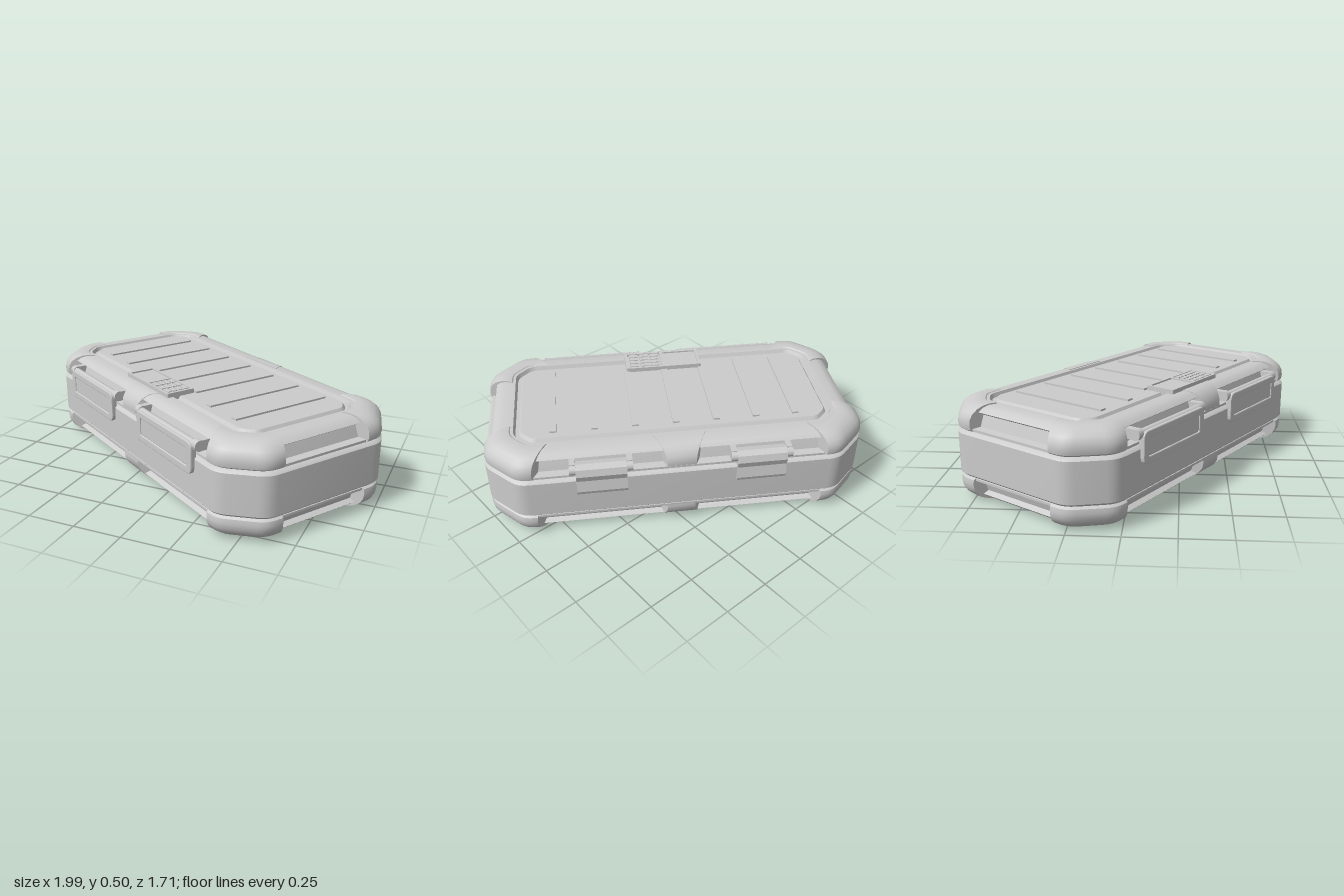
import * as THREE from 'three';
import { toCreasedNormals } from 'three/addons/utils/BufferGeometryUtils.js';

const L = 0.978, W = 0.505, C = 0.17, H = 0.485; // half length, half width, corner cut, height
const mat = new THREE.MeshStandardMaterial({ color: 0xcccccc });

function add(parent, name, geo, x = 0, y = 0, z = 0) {
  const m = new THREE.Mesh(geo, mat);
  m.name = name;
  m.position.set(x, y, z);
  parent.add(m);
  return m;
}
const box = (p, name, w, h, d, x, y, z) => add(p, name, new THREE.BoxGeometry(w, h, d), x, y, z);

// The two softened corner points of one quadrant, from the end (+x) round to the front (+z)
function corner(d, steps = 4) {
  const c = C - d * 0.586, l = L - d, w = W - d, r = Math.min(0.05, c * 0.4), k = r * Math.SQRT1_2;
  const soften = (a, b, e) => Array.from({ length: steps + 1 }, (_, i) => {
    const t = i / steps, s = 1 - t;
    return [0, 1].map(n => s * s * a[n] + 2 * s * t * b[n] + t * t * e[n]);
  });
  return [
    ...soften([l, w - c - r], [l, w - c], [l - k, w - c + k]),
    ...soften([l - c + k, w - k], [l - c, w], [l - c - r, w]),
  ];
}
// Mirrors a quadrant path, keeping its direction of travel
function mirror(path, sx, sz) {
  const p = path.map(([x, z]) => [x * sx, z * sz]);
  return sx * sz < 0 ? p.reverse() : p;
}
const octagon = d => [[1, 1], [-1, 1], [-1, -1], [1, -1]].flatMap(([sx, sz]) => mirror(corner(d), sx, sz));

// Sweeps a profile of [inset, height] along path(inset); closed loops get lids, open spans get end faces
function sweep(profile, path, closed) {
  const rings = profile.map(([d, y]) => path(d).map(([x, z]) => [x, y, z]));
  const n = rings[0].length, pos = [];
  const tri = (...pts) => pts.forEach(p => pos.push(...p));
  const mean = pts => [0, 1, 2].map(k => pts.reduce((s, p) => s + p[k], 0) / pts.length);
  for (let i = 0; i < rings.length - 1; i++) {
    for (let j = 0; j < (closed ? n : n - 1); j++) {
      const k = (j + 1) % n, a = rings[i], b = rings[i + 1];
      tri(a[j], b[j], a[k]);
      tri(a[k], b[j], b[k]);
    }
  }
  if (closed) {
    const lo = rings[0], hi = rings.at(-1), cl = mean(lo), ch = mean(hi);
    for (let j = 0; j < n; j++) {
      const k = (j + 1) % n;
      tri(cl, lo[j], lo[k]);
      tri(ch, hi[k], hi[j]);
    }
  } else {
    const s = rings.map(r => r[0]), e = rings.map(r => r[n - 1]), cs = mean(s), ce = mean(e);
    for (let i = 0; i < s.length - 1; i++) {
      tri(cs, s[i + 1], s[i]);
      tri(ce, e[i], e[i + 1]);
    }
  }
  const g = new THREE.BufferGeometry();
  g.setAttribute('position', new THREE.Float32BufferAttribute(pos, 3));
  return toCreasedNormals(g, 0.55);
}
const flip = profile => profile.map(([d, y]) => [d, H - y]).reverse();

function roundRect(w, h, r, P = THREE.Shape, cx = 0) {
  const s = new P(), a = cx - w / 2, b = cx + w / 2, t = h / 2;
  s.moveTo(a + r, -t).lineTo(b - r, -t).quadraticCurveTo(b, -t, b, -t + r);
  s.lineTo(b, t - r).quadraticCurveTo(b, t, b - r, t).lineTo(a + r, t);
  s.quadraticCurveTo(a, t, a, t - r).lineTo(a, -t + r).quadraticCurveTo(a, -t, a + r, -t);
  return s;
}
const extrude = (shape, depth, bevel = 0) => new THREE.ExtrudeGeometry(shape, {
  depth, bevelEnabled: bevel > 0, bevelSize: bevel, bevelThickness: bevel, bevelSegments: 2, curveSegments: 4,
});
const barrel = (r, len) => new THREE.CylinderGeometry(r, r, len, 14).rotateZ(Math.PI / 2);

const bodyProfile = [[0.03, 0.125], [0.012, 0.13], [0, 0.142], [0, 0.343], [0.012, 0.355], [0.03, 0.36]];
// Rim with a slot running round it, then the groove and the raised panel
const rimProfile = [[0.03, 0.355], [0.015, 0.362], [0.015, 0.374], [0.055, 0.378], [0.072, 0.435], [0.048, 0.45],
  [0.07, 0.468], [0.1, 0.478], [0.155, 0.478], [0.165, 0.458], [0.183, 0.458], [0.195, 0.476]];
const postProfile = [[0.1, 0.362], [0.018, 0.362], [0.014, 0.385], [0.02, 0.42], [0.046, 0.454],
  [0.075, 0.474], [0.11, 0.481], [0.14, 0.481], [0.14, 0.4], [0.1, 0.362]];
const bumperProfile = [[0.1, 0.358], [0.02, 0.358], [0.006, 0.368], [0.002, 0.39], [0.006, 0.42], [0.02, 0.446],
  [0.045, 0.467], [0.075, 0.48], [0.11, 0.485], [0.135, 0.483], [0.15, 0.47], [0.15, 0.4], [0.1, 0.358]];

// Rim, bumpers, posts and ribs, for the lid or turned over for the base
function half(name, turn) {
  const g = new THREE.Group();
  g.name = name;
  add(g, name + 'Rim', sweep(turn(rimProfile), octagon, true));
  for (const sx of [1, -1]) for (const sz of [1, -1]) {
    const path = d => mirror([[L - d, 0.25 - d * 0.35], ...corner(d), [0.74 - d * 0.6, W - d]], sx, sz);
    add(g, 'cornerBumper', sweep(turn(bumperProfile), path, false));
  }
  for (const s of [1, -1]) {
    const path = d => [1, -1].map(e => [s * e * (0.065 + d * 0.5), s * (W - d)]);
    add(g, 'sidePost', sweep(turn(postProfile), path, false));
  }
  const lid = name === 'lid';
  for (let i = -3; i <= 3; i++) {
    const end = lid && Math.abs(i) < 2 ? 0.22 : 0.275; // the middle ribs stop at the keypad
    const rib = new THREE.BoxGeometry(0.036, 0.012, end + 0.275);
    box(g, 'panelRib', 0.034, 0.012, end + 0.275, i * 0.208, lid ? 0.479 : H - 0.479, (end - 0.275) / 2);
    rib.dispose();
  }
  return g;
}

// Wide front latch: rounded frame, inset plate, pivot bar and lugs
function frontLatch() {
  const g = new THREE.Group();
  g.name = 'frontLatch';
  const frame = roundRect(0.5, 0.15, 0.03);
  frame.holes.push(roundRect(0.44, 0.098, 0.012, THREE.Path));
  add(g, 'latchFrame', extrude(frame, 0.022, 0.005), 0, 0.345, 0.498);
  add(g, 'latchPlate', extrude(roundRect(0.425, 0.09, 0.01), 0.03, 0.004), 0, 0.35, 0.486);
  add(g, 'latchPivot', barrel(0.02, 0.5), 0, 0.412, 0.495);
  for (const s of [-1, 1]) {
    add(g, 'latchLug', barrel(0.027, 0.035), s * 0.262, 0.412, 0.49);
    box(g, 'latchLugFoot', 0.035, 0.05, 0.06, s * 0.262, 0.412, 0.462);
  }
  return g;
}

// Narrow back hinge: barrel at the rim and a flared plate over the body
function backHinge() {
  const g = new THREE.Group();
  g.name = 'backHinge';
  const side = new THREE.Shape([[0.45, 0.39], [0.495, 0.28], [0.505, 0.268], [0.522, 0.272], [0.528, 0.29],
    [0.518, 0.35], [0.53, 0.385], [0.518, 0.42], [0.485, 0.432], [0.45, 0.425]]
    .map(([z, y]) => new THREE.Vector2(-z, y)));
  add(g, 'hingePlate', extrude(side, 0.25).rotateY(Math.PI / 2).translate(-0.125, 0, 0));
  for (const s of [-1, 1]) {
    add(g, 'hingeKnuckle', barrel(0.026, 0.032), s * 0.14, 0.405, 0.49);
    box(g, 'hingeFoot', 0.03, 0.05, 0.06, s * 0.14, 0.41, 0.46);
  }
  return g;
}

// Keypad: two-bay frame, blank display and a block of keys
function keypad() {
  const g = new THREE.Group();
  g.name = 'keypad';
  const frame = roundRect(0.42, 0.16, 0.008);
  for (const s of [-1, 1]) frame.holes.push(roundRect(0.187, 0.134, 0.004, THREE.Path, s * 0.101));
  add(g, 'keypadFrame', extrude(frame, 0.038).rotateX(-Math.PI / 2), 0, 0.462, 0);
  box(g, 'keypadDisplay', 0.19, 0.03, 0.136, -0.101, 0.477, 0);
  box(g, 'keypadBed', 0.19, 0.026, 0.136, 0.101, 0.475, 0);
  for (let i = 0; i < 3; i++) for (let j = 0; j < 4; j++)
    box(g, 'key', 0.05, 0.014, 0.025, 0.101 + (i - 1) * 0.059, 0.493, (j - 1.5) * 0.032);
  g.position.z = 0.305;
  return g;
}

export function createModel() {
  const root = new THREE.Group(), box3 = new THREE.Group();
  root.name = 'hardCase';
  box3.name = 'case';
  box3.rotation.y = -THREE.MathUtils.degToRad(32.8); // stands turned on the ground
  root.add(box3);
  add(box3, 'body', sweep(bodyProfile, octagon, true));
  box3.add(half('lid', p => p), half('base', flip), keypad());
  for (const s of [-1, 1]) {
    const latch = frontLatch(), hinge = backHinge();
    latch.position.x = s * 0.39;
    hinge.position.x = s * 0.4;
    hinge.rotation.y = Math.PI;
    // The hinge plate outline is drawn toward -x and turned to face outward
    box3.add(latch, hinge);
  }
  return root;
}
